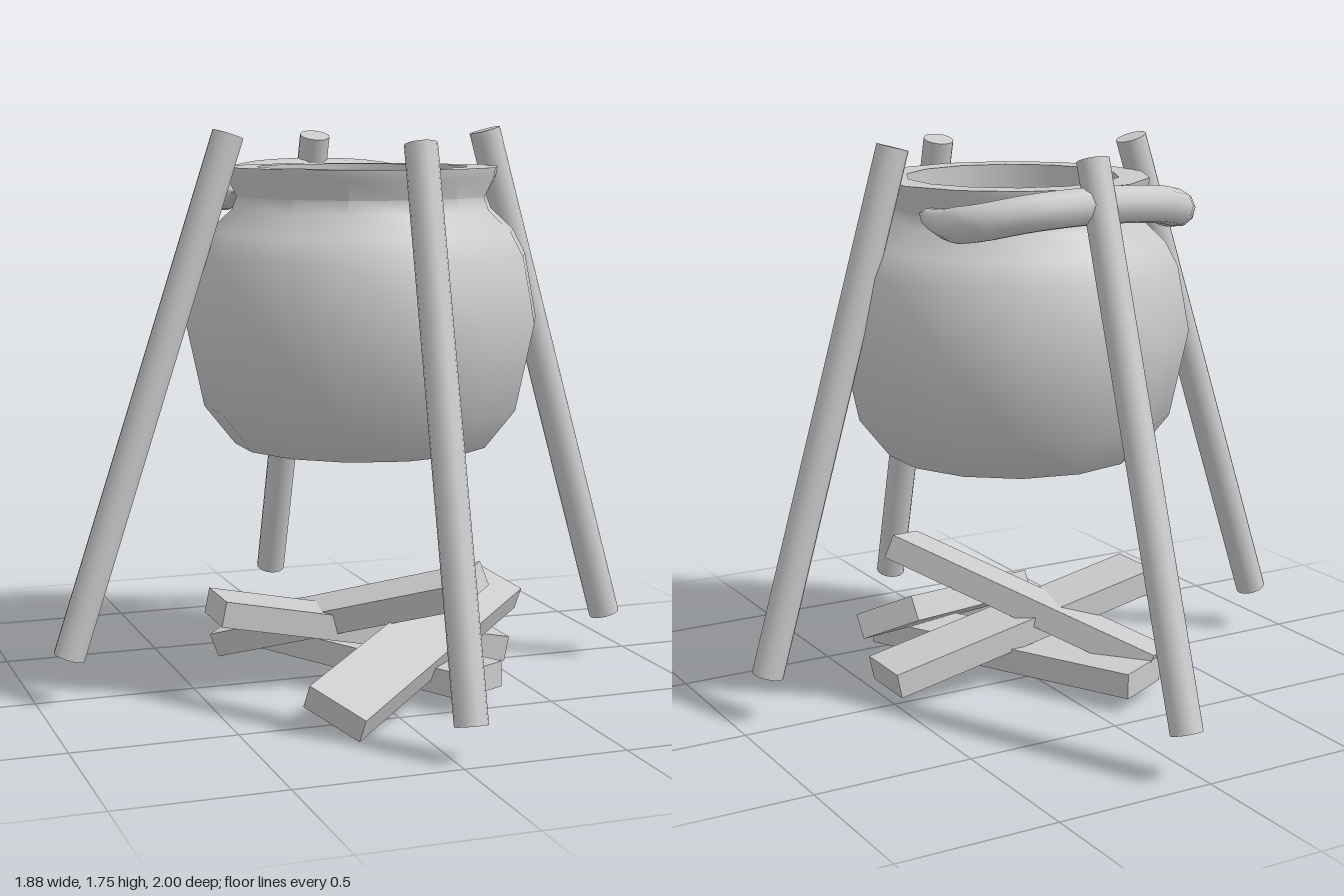
import * as THREE from 'three';
import { toCreasedNormals } from 'three/addons/utils/BufferGeometryUtils.js';

const V = (x, y, z) => new THREE.Vector3(x, y, z);
const material = new THREE.MeshStandardMaterial({ color: 0xcccccc });

function add(group, name, geometry) {
  const mesh = new THREE.Mesh(geometry, material);
  mesh.name = name;
  group.add(mesh);
  return mesh;
}

// Round pole between two points
function pole(group, name, from, to) {
  const axis = to.clone().sub(from);
  const mesh = add(group, name, new THREE.CylinderGeometry(0.049, 0.049, axis.length(), 16));
  mesh.position.copy(from).lerp(to, 0.5);
  mesh.quaternion.setFromUnitVectors(V(0, 1, 0), axis.normalize());
}

// Squared log between two end centres; side gives the direction of its width
function log(group, name, from, to, side) {
  const axis = to.clone().sub(from);
  const mesh = add(group, name, new THREE.BoxGeometry(axis.length(), 0.08, 0.2));
  mesh.position.copy(from).lerp(to, 0.5);
  axis.normalize();
  const up = side.clone().cross(axis).normalize();
  const width = axis.clone().cross(up);
  mesh.quaternion.setFromRotationMatrix(new THREE.Matrix4().makeBasis(axis, up, width));
}

// Carrying handle: a bent tube, tapered at both ends, lying behind the neck
function handleGeometry() {
  const half = [[0.375, 1.56, -0.06], [0.365, 1.545, -0.22], [0.345, 1.56, -0.35], [0.21, 1.59, -0.435]];
  const points = [
    ...half.map(([x, y, z]) => V(-x, y, z)),
    V(0, 1.6, -0.45),
    ...half.reverse().map(([x, y, z]) => V(x, y, z)),
  ];
  const curve = new THREE.CatmullRomCurve3(points);
  const rings = 28, sides = 10;
  const geometry = new THREE.TubeGeometry(curve, rings, 0.056, sides);
  const pos = geometry.attributes.position;
  const v = V(0, 0, 0);
  for (let i = 0; i <= rings; i++) {
    const centre = curve.getPointAt(i / rings);
    const end = Math.min(i, rings - i) / rings;
    const scale = Math.min(1, 0.02 + Math.sqrt(end / 0.18));
    for (let j = 0; j <= sides; j++) {
      const k = i * (sides + 1) + j;
      v.fromBufferAttribute(pos, k).sub(centre).multiplyScalar(scale).add(centre);
      pos.setXYZ(k, v.x, v.y, v.z);
    }
  }
  return toCreasedNormals(geometry, 1.2);
}

export function createModel() {
  const model = new THREE.Group();

  // Pot: recessed base, round belly, flared lip, straight inner wall and floor
  const pot = new THREE.Group();
  pot.name = 'pot';
  pot.position.set(0.045, 0, 0.045);
  model.add(pot);
  const lathe = (name, profile) => add(pot, name, toCreasedNormals(
    new THREE.LatheGeometry(profile.map(([r, y]) => new THREE.Vector2(r, y)), 14), 0.9));
  lathe('potBody', [
    [0, 0.83], [0.33, 0.83], [0.4, 0.78], [0.495, 0.9], [0.552, 1.17], [0.515, 1.37],
    [0.475, 1.445], [0.405, 1.51], [0.39, 1.55], [0.42, 1.61], [0.425, 1.64], [0.33, 1.64],
  ]);
  lathe('potInside', [[0.33, 1.64], [0.33, 0.835], [0, 0.835]]);

  const handle = add(model, 'handle', handleGeometry());
  handle.position.x = 0.045;

  // Four leaning support poles
  pole(model, 'rightPole', V(-0.9, 0.16, 0.035), V(-0.383, 1.74, 0.035));
  pole(model, 'leftPole', V(0.89, 0.16, 0.077), V(0.468, 1.75, 0.015));
  pole(model, 'frontPole', V(0.04, 0.12, 0.953), V(0.053, 1.715, 0.515));
  pole(model, 'backPole', V(0.05, 0.16, -0.95), V(0.05, 1.73, -0.43));

  // Firewood stacked under the pot
  log(model, 'bottomLog', V(0.27, 0.1, 0.485), V(-0.18, 0.1, -0.385), V(0.175, 0, -0.09));
  log(model, 'crossLog', V(-0.44, 0.283, 0.05), V(0.505, 0.09, 0.05), V(0, 0, 1));
  log(model, 'raisedLog', V(0.25, 0.385, 0.44), V(-0.29, 0.1, -0.3), V(0.14, 0.035, -0.13));
  log(model, 'frontLog', V(-0.25, 0.09, 0.63), V(0.495, 0.285, 0.05), V(0.14, -0.09, 0.155));

  return model;
}
